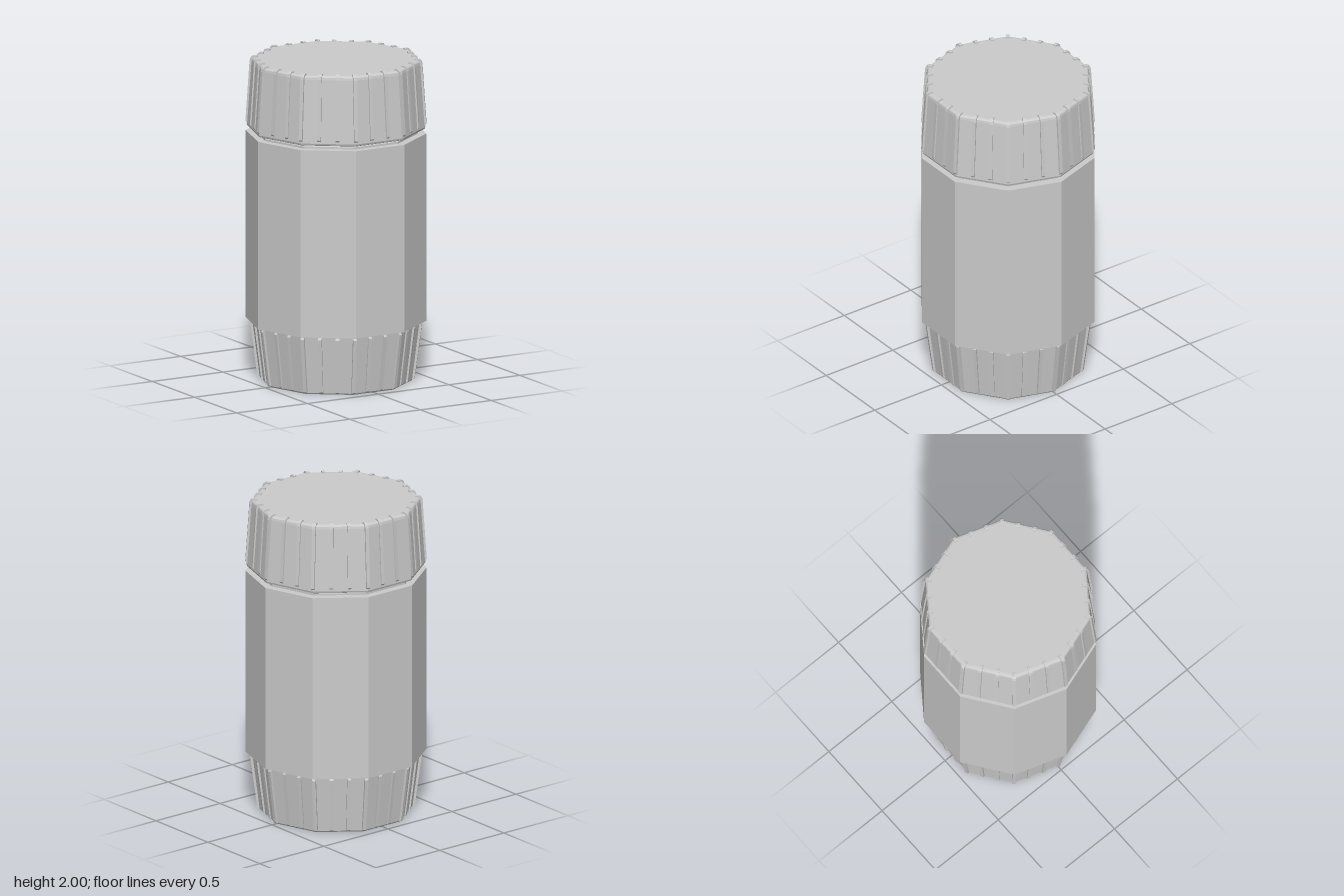
import * as THREE from 'three';

const SIDES = 10;
const RIBS_PER_SIDE = 3;
const RIB_WIDTH = 0.022;

export function createModel() {
  const model = new THREE.Group();
  model.name = 'ribbedJar';
  const material = new THREE.MeshStandardMaterial({ color: 0xcccccc, flatShading: true });

  // Ten-sided solid from a [radius, height] profile, with corners on the x axis
  function turned(name, profile) {
    const points = profile.map(([r, y]) => new THREE.Vector2(r, y));
    const mesh = new THREE.Mesh(new THREE.LatheGeometry(points, SIDES, Math.PI / 2), material);
    mesh.name = name;
    model.add(mesh);
  }

  // Ring of thin radial ribs that follow the ten-sided outline
  function ribs(name, profile) {
    const group = new THREE.Group();
    group.name = name;
    const step = (Math.PI * 2) / SIDES;
    for (let k = 0; k < RIBS_PER_SIDE; k++) {
      const t = k / RIBS_PER_SIDE;
      const x = 1 - t + t * Math.cos(step);
      const z = t * Math.sin(step);
      const reach = Math.hypot(x, z);
      const shape = new THREE.Shape(profile.map(([r, y]) => new THREE.Vector2(r * reach, y)));
      const geometry = new THREE.ExtrudeGeometry(shape, { depth: RIB_WIDTH, bevelEnabled: false });
      geometry.translate(0, 0, -RIB_WIDTH / 2);
      for (let side = 0; side < SIDES; side++) {
        const rib = new THREE.Mesh(geometry, material);
        rib.name = 'rib';
        rib.rotation.y = -(side * step + Math.atan2(z, x));
        group.add(rib);
      }
    }
    model.add(group);
  }

  // Tapered base and its ribs
  turned('base', [[0, 0], [0.462, 0], [0.468, 0.008], [0.515, 0.38], [0, 0.38]]);
  ribs('baseRibs', [[0.45, 0.006], [0.472, 0.006], [0.479, 0.014], [0.523, 0.348], [0.515, 0.36], [0.495, 0.36]]);

  // Straight body
  turned('body', [[0, 0.37], [0.55, 0.37], [0.55, 1.535], [0, 1.535]]);

  // Neck with a thin collar
  turned('neck', [[0, 1.53], [0.5, 1.53], [0.5, 1.547], [0.47, 1.552], [0.47, 1.575], [0, 1.575]]);

  // Lid with softened edges, and ribs that fold over its rim
  turned('lid', [
    [0, 1.56], [0.53, 1.56], [0.54, 1.564], [0.544, 1.575],
    [0.517, 1.965], [0.514, 1.98], [0.506, 1.988], [0.495, 1.99], [0, 1.99],
  ]);
  ribs('lidRibs', [
    [0.525, 1.59], [0.545, 1.587], [0.551, 1.596], [0.526, 1.968],
    [0.521, 1.986], [0.51, 1.997], [0.495, 2], [0.48, 1.998], [0.48, 1.98], [0.5, 1.965],
  ]);

  return model;
}
